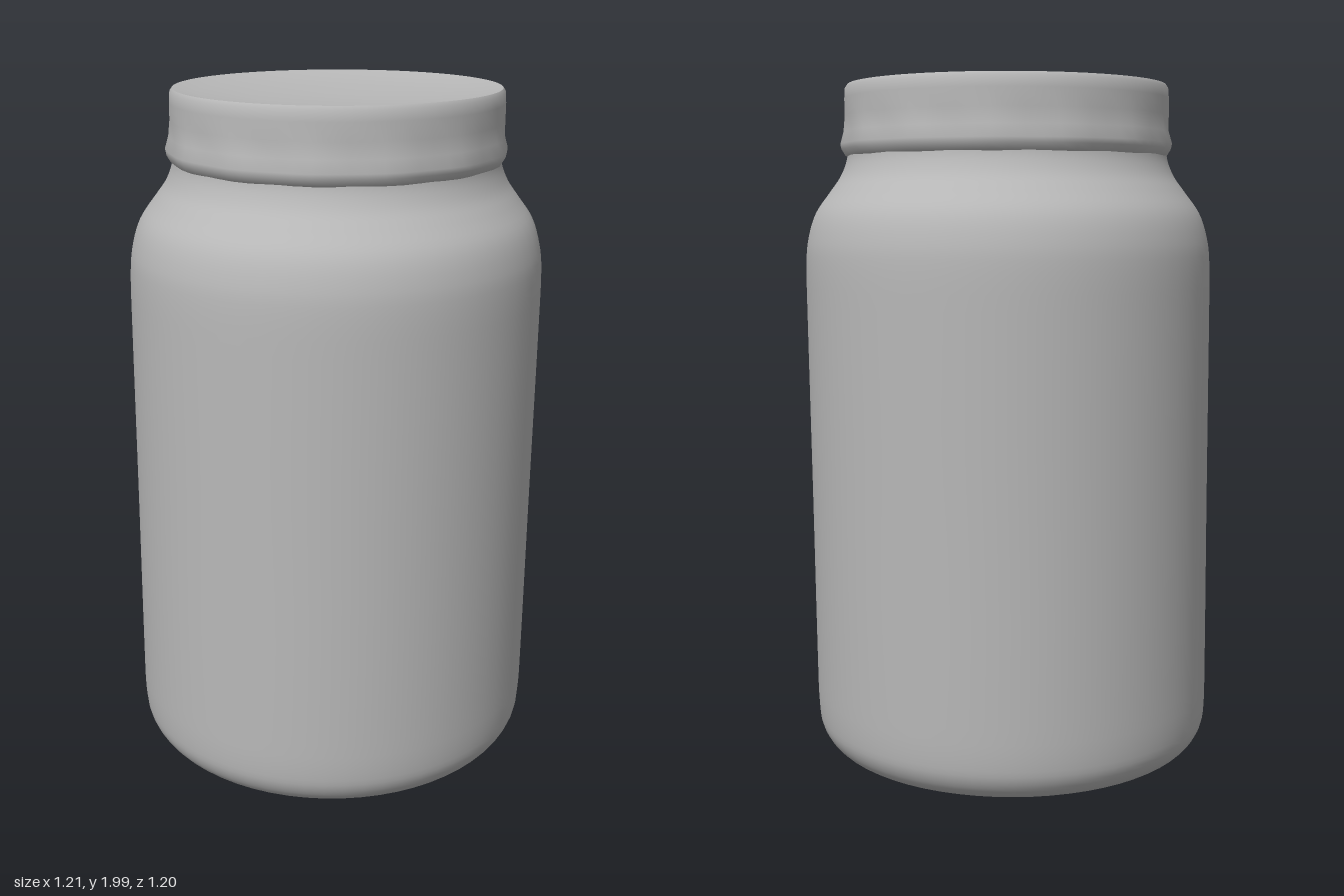
import * as THREE from 'three';
import { toCreasedNormals } from 'three/addons/utils/BufferGeometryUtils.js';

const SEGMENTS = 64;
const points = (list) => list.map(([r, y]) => new THREE.Vector2(r, y));

// The jar leans very slightly, so each height has its own centre
const lean = (y) => -0.013 + 0.011 * y;

// Turn a profile (bottom to top), lean it, and soften it with an optional ripple
function turned(profile, ripple = () => 0) {
  const geometry = new THREE.LatheGeometry(profile, SEGMENTS);
  const p = geometry.attributes.position;
  for (let i = 0; i < p.count; i++) {
    const x = p.getX(i), y = p.getY(i), z = p.getZ(i);
    const angle = (2 * Math.PI * Math.floor(i / profile.length)) / SEGMENTS;
    const k = 1 + ripple(angle, y);
    p.setXYZ(i, x * k + lean(y), y, z * k);
  }
  return toCreasedNormals(geometry, 0.7);
}

export function createModel() {
  const jar = new THREE.Group();
  jar.name = 'jar';
  const grey = new THREE.MeshStandardMaterial({ color: 0xb8b8b8 });
  grey.name = 'plain grey';

  const add = (name, geometry) => {
    const mesh = new THREE.Mesh(geometry, grey);
    mesh.name = name;
    jar.add(mesh);
  };

  // Body: rounded heel, straight wall, sloping shoulder and neck
  const wall = new THREE.SplineCurve(points([
    [0.45, 0.008], [0.5, 0.01], [0.55, 0.03], [0.585, 0.075], [0.597, 0.14], [0.599, 0.3],
    [0.599, 0.8], [0.6, 1.3], [0.599, 1.48], [0.59, 1.56], [0.567, 1.63],
    [0.525, 1.69], [0.493, 1.735], [0.474, 1.78], [0.468, 1.82],
  ])).getPoints(56);
  add('body', turned(wall));

  // Base: shallow hollow inside the standing ring
  add('base', turned(points([
    [0, 0.045], [0.2, 0.043], [0.36, 0.036], [0.42, 0.024], [0.45, 0.008],
  ])));

  // Lid: slightly crimped skirt, crisp rim and dished top
  const crimp = (angle, y) => (y < 1.88 && y > 1.79 ? 0.006 * Math.sin(angle * 14) : 0);
  add('lid', turned(points([
    [0.462, 1.79], [0.474, 1.797], [0.485, 1.815], [0.488, 1.83], [0.478, 1.865],
    [0.476, 1.91], [0.476, 1.96], [0.474, 1.99], [0.467, 2.0],
    [0.455, 1.998], [0.4, 1.987], [0.25, 1.975], [0.1, 1.968], [0, 1.967],
  ]), crimp));

  return jar;
}
